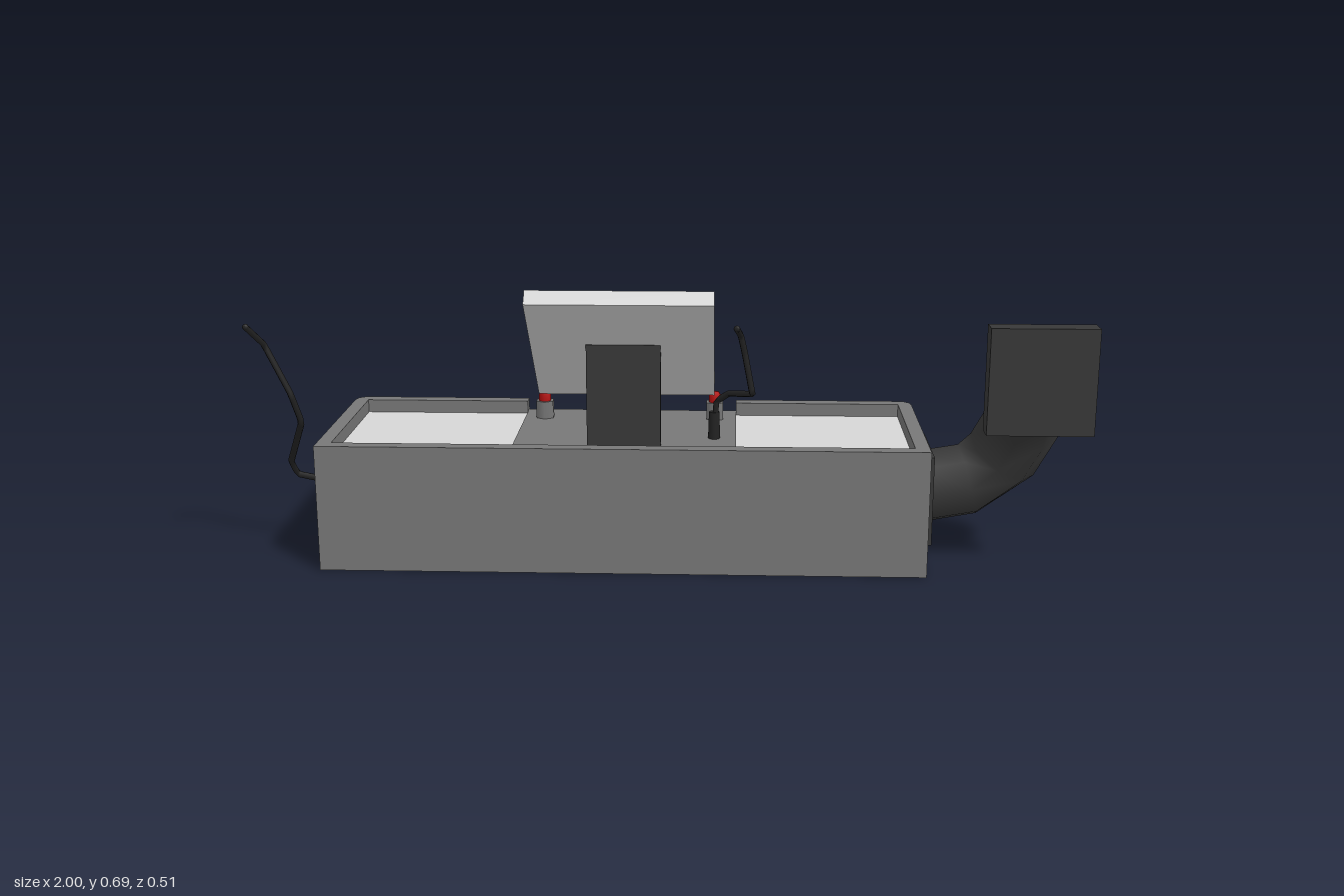
import * as THREE from 'three';

const mat = (name, color) => Object.assign(new THREE.MeshStandardMaterial({ color }), { name });

export function createModel() {
  const root = new THREE.Group();
  const grey = mat('casing grey', 0x777777);
  const light = mat('panel light grey', 0xd6d6d6);
  const dark = mat('fitting charcoal', 0x383838);
  const black = mat('cable black', 0x222222);
  const red = mat('button red', 0xb01010);

  const add = (name, geo, material, parent = root) => {
    const mesh = new THREE.Mesh(geo, material);
    mesh.name = name;
    parent.add(mesh);
    return mesh;
  };
  // box given by its limits on each axis
  const box = (name, m, x0, x1, y0, y1, z0, z1) => {
    const mesh = add(name, new THREE.BoxGeometry(x1 - x0, y1 - y0, z1 - z0), m);
    mesh.position.set((x0 + x1) / 2, (y0 + y1) / 2, (z0 + z1) / 2);
    return mesh;
  };
  // plan outline (x, -z) raised from y0 to y1
  const slab = (name, m, shape, y0, y1) => {
    const geo = new THREE.ExtrudeGeometry(shape, { depth: y1 - y0, bevelEnabled: false, curveSegments: 3 });
    geo.rotateX(-Math.PI / 2).translate(0, y0, 0);
    return add(name, geo, m);
  };

  const X0 = -0.84, X1 = 0.63, F = -0.23, B = 0.257, R = 0.036, T = 0.313;
  const L = -0.38, M = 0.17, W = 0.035, FLOOR = 0.272;

  // end blocks, rounded at the outer back corner
  const block = (xi, xo) => {
    const s = Math.sign(xo - xi), p = new THREE.Shape();
    p.moveTo(xi, F);
    p.lineTo(xo, F);
    p.lineTo(xo, B - R);
    p.quadraticCurveTo(xo, B, xo - s * R, B);
    p.lineTo(xi, B);
    p.closePath();
    return p;
  };
  slab('rightBlock', grey, block(L, X0), 0, FLOOR);
  slab('leftBlock', grey, block(M, X1), 0, FLOOR);

  // raised rim running round the top, open at the middle of the back
  const rim = new THREE.Shape();
  rim.moveTo(L, B);
  rim.lineTo(X0 + R, B);
  rim.quadraticCurveTo(X0, B, X0, B - R);
  rim.lineTo(X0, F);
  rim.lineTo(X1, F);
  rim.lineTo(X1, B - R);
  rim.quadraticCurveTo(X1, B, X1 - R, B);
  rim.lineTo(M, B);
  rim.lineTo(M, B - W);
  rim.lineTo(X1 - W, B - W);
  rim.lineTo(X1 - W, F + W);
  rim.lineTo(X0 + W, F + W);
  rim.lineTo(X0 + W, B - W);
  rim.lineTo(L, B - W);
  rim.closePath();
  slab('topRim', grey, rim, FLOOR, T);

  // centre section with the open knee space at the back
  box('frontWall', grey, L, M, 0, FLOOR, 0.195, 0.23);
  box('kneeSpaceFloor', grey, L, M, 0, 0.005, -0.257, 0.195);
  box('centreDesk', grey, L, M, 0.25, 0.285, -0.25, 0.195);
  box('deskUnderside', dark, L, M, 0.244, 0.25, -0.248, 0.195);
  box('kneeSpaceSide', dark, M - 0.004, M, 0.005, 0.244, -0.25, 0.195);

  // light panels in the two trays
  box('rightTrayPanel', light, X0 + W, L, FLOOR, FLOOR + 0.008, -0.222, 0.195);
  box('leftTrayPanel', light, M, X1 - W, FLOOR, FLOOR + 0.008, -0.222, 0.195);

  // tilted screen on its stand
  const screen = add('screen', new THREE.BoxGeometry(0.445, 0.041, 0.402), light);
  screen.position.set(-0.1075, 0.5325, 0.0725);
  screen.rotation.x = -Math.PI / 4;
  box('screenStand', dark, -0.195, -0.015, 0.28, 0.54, 0.07, 0.11);

  // red push buttons on hexagonal bases
  for (const x of [-0.328, 0.115]) {
    const button = new THREE.Group();
    button.name = 'pushButton';
    button.position.set(x, 0, -0.17);
    add('buttonBase', new THREE.CylinderGeometry(0.025, 0.025, 0.05, 6).toNonIndexed(), grey, button).position.y = 0.305;
    const cap = [[0.016, 0.325], [0.016, 0.346], [0.011, 0.356], [0, 0.358]];
    add('buttonCap', new THREE.LatheGeometry(cap.map(p => new THREE.Vector2(...p)), 10), red, button);
    root.add(button);
  }

  // bent pipe with square flanges
  const curve = pts => new THREE.CatmullRomCurve3(pts.map(p => new THREE.Vector3(...p)));
  box('pipeWallFlange', dark, 0.63, 0.655, 0.037, 0.262, -0.126, 0.1);
  box('pipeEndFlange', dark, 0.75, 1.0, 0.363, 0.618, 0.205, 0.258);
  const pipePath = curve([[0.64, 0.155, -0.015], [0.785, 0.188, -0.018], [0.866, 0.315, 0.03],
    [0.872, 0.435, 0.115], [0.873, 0.48, 0.215]]);
  add('bentPipe', new THREE.TubeGeometry(pipePath, 5, 0.094, 8), dark);

  // loose cables, made of straight runs with soft bends
  const cable = (name, pts) => {
    const path = new THREE.CurvePath();
    const v = pts.map(p => new THREE.Vector3(...p));
    for (let i = 1; i < v.length; i++) path.add(new THREE.LineCurve3(v[i - 1], v[i]));
    add(name, new THREE.TubeGeometry(path, 30, 0.008, 6), black);
    const end = add(name + 'End', new THREE.SphereGeometry(0.008, 6, 4), black);
    end.position.copy(v[v.length - 1]);
  };
  box('cableSocket', dark, -0.865, -0.84, 0.09, 0.23, -0.085, 0.055);
  cable('sideCable', [[-0.86, 0.16, 0.01], [-0.94, 0.178, 0.015], [-0.947, 0.22, 0.045],
    [-0.897, 0.34, 0.11], [-0.912, 0.42, 0.14], [-0.965, 0.545, 0.155], [-0.99, 0.598, 0.21]]);
  cable('deskCable', [[0.115, 0.28, 0.02], [0.12, 0.38, 0.022], [0.15, 0.405, 0.04], [0.208, 0.42, 0.105],
    [0.206, 0.435, 0.14], [0.188, 0.53, 0.145], [0.178, 0.575, 0.155], [0.168, 0.605, 0.22]]);
  add('deskCableGland', new THREE.CylinderGeometry(0.013, 0.015, 0.07, 8), black).position.set(0.115, 0.318, 0.02);

  return root;
}
